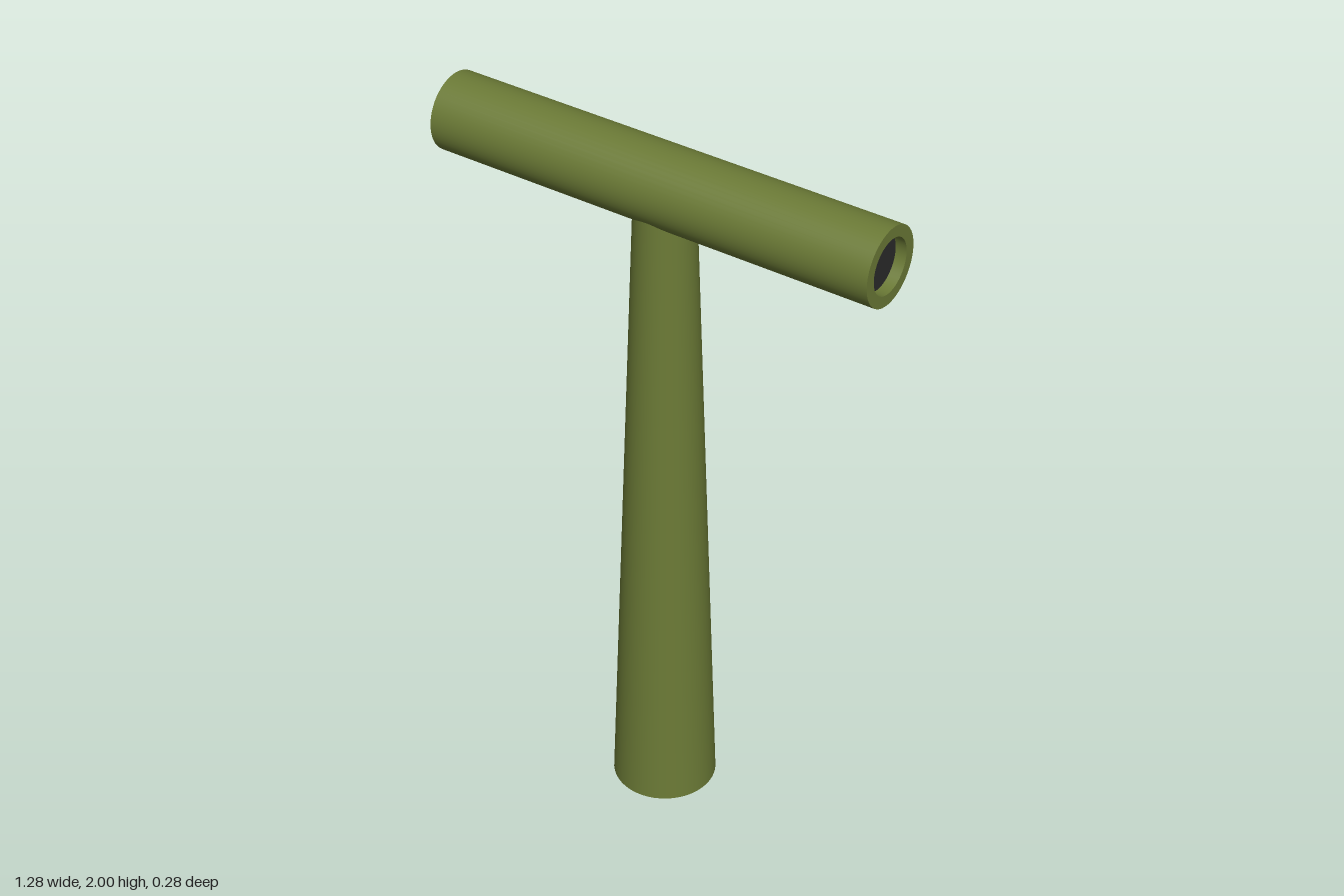
import * as THREE from 'three';

export function createModel() {
  const group = new THREE.Group();
  const olive = new THREE.MeshStandardMaterial({ color: 0x6b7a36 });
  olive.name = 'olive green';
  const dark = new THREE.MeshStandardMaterial({ color: 0x2b2b2b });
  dark.name = 'dark grey';

  const add = (name, geometry, material, x, y) => {
    const mesh = new THREE.Mesh(geometry, material);
    mesh.name = name;
    mesh.position.set(x, y, 0);
    group.add(mesh);
    return mesh;
  };

  const half = 0.64, outer = 0.105, inner = 0.074, recess = 0.03, axisY = 1.895;

  // Tapered stem, its top buried in the crossbar
  const stemTop = 1.83;
  add('stem', new THREE.CylinderGeometry(0.08, 0.142, stemTop, 48), olive, 0, stemTop / 2);

  // Crossbar shell
  add('crossbar', new THREE.CylinderGeometry(outer, outer, 2 * half, 48, 1, true), olive, 0, axisY)
    .rotation.z = -Math.PI / 2;

  // Each end: flat rim, short bore wall and recessed dark disc
  for (const side of [1, -1]) {
    const end = new THREE.Group();
    end.name = side > 0 ? 'leftEnd' : 'rightEnd';
    end.position.set(side * half, axisY, 0);
    end.rotation.y = side * Math.PI / 2;

    const rim = new THREE.Mesh(new THREE.RingGeometry(inner, outer, 48), olive);
    rim.name = 'rim';

    const boreShape = new THREE.LatheGeometry(
      [new THREE.Vector2(inner, 0), new THREE.Vector2(inner, -recess)], 48);
    boreShape.rotateX(Math.PI / 2);
    const boreMaterial = olive;
    const bore = new THREE.Mesh(boreShape, boreMaterial);
    bore.name = 'bore';

    const disc = new THREE.Mesh(new THREE.CircleGeometry(inner, 48), dark);
    disc.name = 'boreDisc';
    disc.position.z = -recess;

    end.add(rim, bore, disc);
    group.add(end);
  }
  return group;
}
